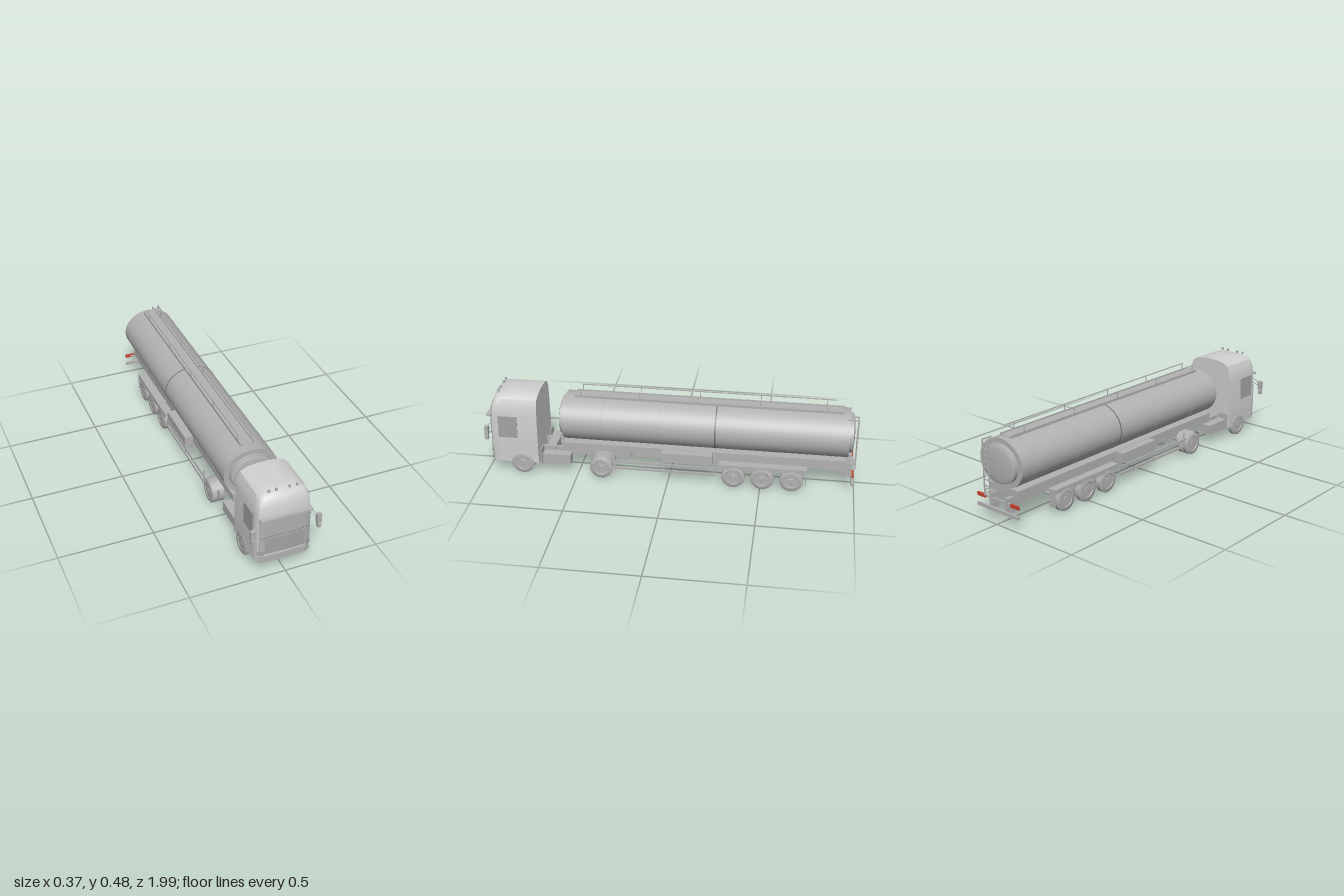
import * as THREE from 'three';
import { toCreasedNormals } from 'three/addons/utils/BufferGeometryUtils.js';

const mat = (name, color, side = THREE.FrontSide) => {
  const m = new THREE.MeshStandardMaterial({ color, side });
  m.name = name;
  return m;
};

export function createModel() {
  const cabPaint = mat('cabPaint', 0xd0d0d0);
  const grey = mat('bodyGrey', 0xb2b2b2);
  const panelGrey = mat('panelGrey', 0xbababa);
  const dark = mat('darkGrey', 0xa4a4a4);
  const seamGrey = mat('seamGrey', 0x777777);
  const red = mat('lampRed', 0xc8452f);
  const root = new THREE.Group();
  root.name = 'tankerTruck';

  const add = (name, geo, m, x = 0, y = 0, z = 0) => {
    const mesh = new THREE.Mesh(geo, m);
    mesh.name = name;
    mesh.position.set(x, y, z);
    root.add(mesh);
    return mesh;
  };
  // box given by its extents
  const box = (name, m, x0, x1, y0, y1, z0, z1) =>
    add(name, new THREE.BoxGeometry(x1 - x0, y1 - y0, z1 - z0), m, (x0 + x1) / 2, (y0 + y1) / 2, (z0 + z1) / 2);
  // the same box on both sides
  const pair = (name, m, x0, x1, ...r) => {
    box(name + 'Left', m, x0, x1, ...r);
    box(name + 'Right', m, -x1, -x0, ...r);
  };
  // round bar between two points
  const bar = (name, m, a, b, r) => {
    const p = new THREE.Vector3(...a), q = new THREE.Vector3(...b);
    const d = q.clone().sub(p);
    const mesh = add(name, new THREE.CylinderGeometry(r, r, d.length(), 8), m);
    mesh.position.copy(p).add(q).multiplyScalar(0.5);
    mesh.quaternion.setFromUnitVectors(new THREE.Vector3(0, 1, 0), d.normalize());
  };

  // ---- cab shell: plan outlines lofted upwards (height, half width, front z)
  const backZ = 0.71;
  const levels = [[0.065, 0.145, 0.975], [0.13, 0.146, 0.978], [0.16, 0.148, 0.978], [0.25, 0.146, 0.978],
    [0.34, 0.142, 0.976], [0.395, 0.138, 0.968], [0.435, 0.122, 0.953], [0.452, 0.09, 0.93], [0.459, 0.035, 0.89]];
  const outline = (hw, zf) => {
    const c = Math.min(0.03, hw * 0.4);
    const half = [[hw, backZ], [hw, zf - 0.05], [hw - c * 0.07, zf - 0.03], [hw - c * 0.3, zf - 0.014], [hw - c, zf - 0.004]];
    return [...half, [0, zf], ...half.map(([x, z]) => [-x, z]).reverse()];
  };
  const pos = [], idx = [], n = 11;
  levels.forEach(([y, hw, zf]) => outline(hw, zf).forEach(([x, z]) => pos.push(x, y, z)));
  for (let i = 0; i < levels.length - 1; i++) {
    for (let j = 0; j < n; j++) {
      const a = i * n + j, b = i * n + (j + 1) % n;
      idx.push(a, a + n, b, b, a + n, b + n);
    }
  }
  const top = (levels.length - 1) * n;
  for (let j = 1; j < n - 1; j++) idx.push(0, j, j + 1, top, top + j + 1, top + j);
  const cabGeo = new THREE.BufferGeometry();
  cabGeo.setAttribute('position', new THREE.Float32BufferAttribute(pos, 3));
  cabGeo.setIndex(idx);
  add('cabShell', toCreasedNormals(cabGeo, 0.7), cabPaint);

  // thin panels that follow the curved cab front
  const frontPanel = (name, m, x0, x1, y0, y1, off) => {
    const g = new THREE.PlaneGeometry(x1 - x0, y1 - y0, 24, 1);
    g.translate((x0 + x1) / 2, (y0 + y1) / 2, 0);
    const p = g.attributes.position;
    for (let i = 0; i < p.count; i++) {
      const x = Math.abs(p.getX(i));
      const z = x < 0.115 ? x * 0.035 : 0.004 + (x - 0.115) * 0.5;
      p.setZ(i, 0.978 - z + off);
    }
    g.computeVertexNormals();
    add(name, g, m);
  };
  frontPanel('windscreenPanel', grey, -0.135, 0.135, 0.12, 0.33, 0.002);
  frontPanel('grille', dark, -0.105, 0.105, 0.12, 0.21, 0.004);
  frontPanel('lowerBumper', grey, -0.138, 0.138, 0.067, 0.105, 0.002);
  frontPanel('headlightLeft', dark, 0.108, 0.14, 0.112, 0.14, 0.005);
  frontPanel('headlightRight', dark, -0.14, -0.108, 0.112, 0.14, 0.005);
  box('sunVisor', panelGrey, -0.135, 0.135, 0.33, 0.342, 0.968, 0.992);
  bar('wiperLeft', seamGrey, [0.008, 0.221, 0.983], [0.13, 0.228, 0.976], 0.0015);
  bar('wiperRight', seamGrey, [-0.13, 0.221, 0.976], [-0.008, 0.228, 0.983], 0.0015);
  pair('sideWindow', dark, 0.143, 0.1485, 0.215, 0.34, 0.82, 0.925);
  for (const x of [-0.073, -0.034, 0.034, 0.073])
    box('roofLamp', grey, x - 0.005, x + 0.005, 0.455, 0.468, 0.925, 0.935);

  // mirrors
  pair('mainMirror', grey, 0.161, 0.185, 0.24, 0.29, 0.972, 0.992);
  pair('wideMirror', grey, 0.165, 0.182, 0.213, 0.235, 0.974, 0.994);
  for (const s of [1, -1]) {
    bar('mirrorArm', grey, [s * 0.138, 0.31, 0.955], [s * 0.17, 0.285, 0.982], 0.0025);
    bar('mirrorArm', grey, [s * 0.14, 0.29, 0.95], [s * 0.17, 0.26, 0.982], 0.002);
    bar('mirrorStem', grey, [s * 0.172, 0.225, 0.984], [s * 0.172, 0.3, 0.984], 0.002);
  }

  // ---- tractor frame
  pair('frameRail', grey, 0.045, 0.06, 0.09, 0.13, 0.22, 0.9);
  box('frameBox', grey, -0.075, 0.07, 0.08, 0.135, 0.63, 0.68);
  pair('fuelTank', grey, 0.085, 0.135, 0.065, 0.12, 0.535, 0.69);
  pair('cabMudFlap', grey, 0.08, 0.14, 0.055, 0.15, 0.694, 0.7);
  box('couplingPlate', grey, -0.06, 0.06, 0.13, 0.146, 0.28, 0.45);

  // ---- wheels
  const tyreProfile = [[0, 0], [0.034, 0], [0.04, -0.017], [0.056, -0.017], [0.0635, -0.012], [0.0635, 0.012],
    [0.056, 0.017], [0.041, 0.017], [0.039, 0.014], [0.016, 0.014], [0.014, 0.016], [0, 0.016]];
  const wheelGeo = toCreasedNormals(new THREE.LatheGeometry(tyreProfile.map(p => new THREE.Vector2(...p)), 28), 0.6);
  const axles = [[0.8, [0.1325]], [0.365, [0.1295, 0.0905]], [-0.355, [0.1295]], [-0.51, [0.1295]], [-0.665, [0.1295]]];
  for (const [z, xs] of axles) {
    for (const s of [1, -1])
      for (const x of xs) add('wheel', wheelGeo, grey, s * x, 0.0635, z).rotation.z = -s * Math.PI / 2;
    bar('axle', grey, [-0.12, 0.0635, z], [0.12, 0.0635, z], 0.01);
  }
  // arched mudguard over the drive wheels
  const archGeo = new THREE.CylinderGeometry(0.07, 0.07, 0.075, 16, 1, true, -Math.PI * 0.32, Math.PI * 0.64);
  archGeo.rotateX(-Math.PI / 2).rotateY(Math.PI / 2);
  const sheet = mat('sheetGrey', 0xb2b2b2, THREE.DoubleSide);
  for (const s of [1, -1]) add('driveMudguard', archGeo, sheet, s * 0.109, 0.0635, 0.365);

  // ---- tank: oval shell with stepped, domed ends
  const RX = 0.148, RY = 0.127, CY = 0.306;
  const oval = (name, m, r, z0, z1) => {
    const g = new THREE.CylinderGeometry(1, 1, z1 - z0, 56);
    g.rotateX(Math.PI / 2).scale(RX * r, RY * r, 1);
    return add(name, g, m, 0, CY, (z0 + z1) / 2);
  };
  oval('tankShell', grey, 1, -0.955, 0.573);
  oval('tankFrontCollar', grey, 0.8, 0.57, 0.592);
  oval('tankRearCollar', grey, 0.8, -0.973, -0.95);
  for (const [z, s] of [[0.592, 1], [-0.973, -1]]) {
    const g = new THREE.SphereGeometry(1, 40, 8, 0, Math.PI * 2, 0, Math.PI / 2);
    g.rotateX(s * Math.PI / 2).scale(RX * 0.78, RY * 0.78, 0.012);
    add('tankEndDome', g, grey, 0, CY, z);
  }
  for (const z of [-0.87, -0.57, 0.05, 0.36]) oval('tankHoop', grey, 1.008, z - 0.002, z + 0.002);
  oval('tankSeam', seamGrey, 1.01, -0.256, -0.249);

  // walkway with handrails
  box('walkway', grey, -0.035, 0.033, 0.425, 0.436, -0.92, 0.52);
  for (const x of [-0.035, 0.035]) {
    box('walkwayCurb', grey, x - 0.002, x + 0.002, 0.425, 0.443, -0.92, 0.52);
    box('handrail', grey, x - 0.002, x + 0.002, 0.472, 0.477, -0.88, 0.49);
    for (const z of [0.485, 0.165, -0.155, -0.48, -0.83])
      box('handrailPost', grey, x - 0.002, x + 0.002, 0.43, 0.474, z - 0.002, z + 0.002);
  }

  // ---- trailer frame
  box('trailerFrame', grey, -0.1, 0.1, 0.145, 0.182, -0.945, 0.58);
  pair('trailerBeam', grey, 0.045, 0.06, 0.1, 0.146, -0.945, 0.2);
  pair('toolBox', grey, 0.095, 0.145, 0.125, 0.18, -0.24, 0.03);
  pair('trailerMudguard', grey, 0.1, 0.146, 0.128, 0.135, -0.745, -0.275);
  pair('mudguardSkirt', grey, 0.142, 0.146, 0.11, 0.135, -0.745, -0.275);
  pair('mudFlap', grey, 0.108, 0.146, 0.04, 0.135, -0.745, -0.74);

  // side guards
  for (const y of [0.062, 0.1]) pair('sideGuardRail', grey, 0.137, 0.143, y, y + 0.012, -0.26, 0.305);
  for (const z of [0.29, 0.02, -0.255]) pair('sideGuardPost', grey, 0.135, 0.14, 0.062, 0.146, z - 0.004, z + 0.004);

  // ---- rear: ladder, bumper and lamps
  for (const x of [0.042, 0.08]) {
    box('ladderRail', grey, x - 0.0025, x + 0.0025, 0.13, 0.425, -1, -0.994);
    for (const y of [0.16, 0.42]) box('ladderBracket', grey, x - 0.002, x + 0.002, y - 0.003, y + 0.003, -0.996, -0.94);
  }
  for (let i = 0; i < 9; i++)
    box('ladderRung', grey, 0.042, 0.08, 0.15 + i * 0.032, 0.154 + i * 0.032, -0.999, -0.995);
  box('rearBumper', grey, -0.145, 0.145, 0.06, 0.077, -0.992, -0.98);
  pair('bumperBracket', grey, 0.045, 0.065, 0.065, 0.146, -0.982, -0.935);
  box('lampBar', grey, -0.12, 0.12, 0.118, 0.125, -0.982, -0.974);
  pair('tailLamp', red, 0.09, 0.145, 0.112, 0.13, -0.99, -0.98);

  return root;
}
